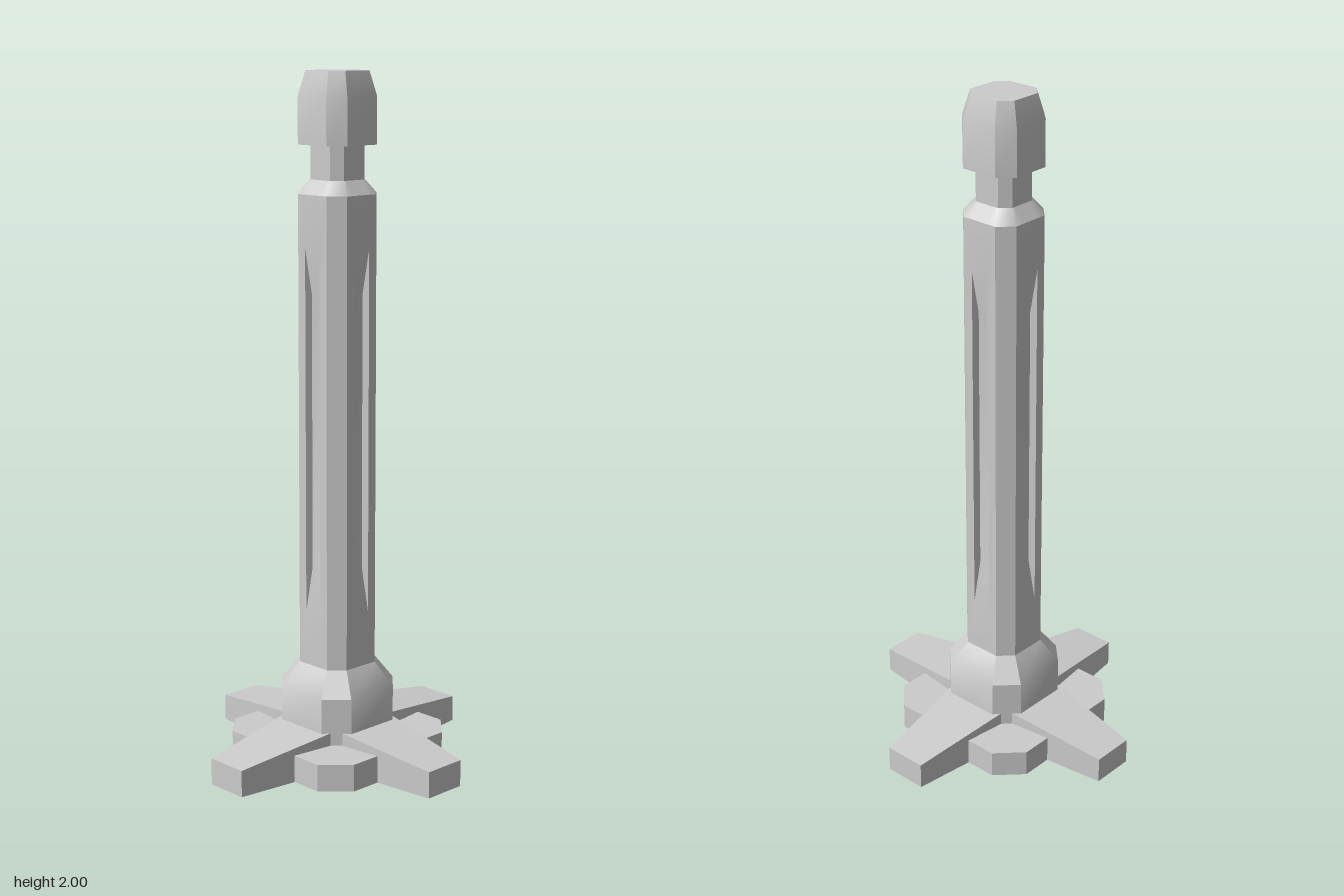
import * as THREE from 'three';
import { toCreasedNormals } from 'three/addons/utils/BufferGeometryUtils.js';

const material = new THREE.MeshStandardMaterial({ color: 0xcccccc });
const CORNER = 0.585; // where a flat side ends, as a share of the half width

// Skin a stack of closed rings (listed from +x towards +z, bottom to top) and cap both ends
function loft(name, rings) {
  const pos = [];
  const tri = (...pts) => pts.forEach((p) => pos.push(p.x, p.y, p.z));
  const centre = (ring) =>
    ring.reduce((sum, p) => sum.add(p), new THREE.Vector3()).divideScalar(ring.length);
  const n = rings[0].length;
  const bottom = rings[0], top = rings[rings.length - 1];
  const cb = centre(bottom), ct = centre(top);
  for (let i = 0; i < n; i++) {
    const j = (i + 1) % n;
    for (let k = 0; k < rings.length - 1; k++) {
      const lo = rings[k], hi = rings[k + 1];
      tri(lo[i], hi[i], lo[j]);
      tri(lo[j], hi[i], hi[j]);
    }
    tri(cb, bottom[i], bottom[j]);
    tri(ct, top[j], top[i]);
  }
  const geo = new THREE.BufferGeometry();
  geo.setAttribute('position', new THREE.Float32BufferAttribute(pos, 3));
  const mesh = new THREE.Mesh(toCreasedNormals(geo, 0.62), material);
  mesh.name = name;
  return mesh;
}

// Repeat one side, given as [across, outward] points, around the four sides
function fourSided(y, side) {
  const ring = [];
  for (let q = 0; q < 4; q++) {
    const c = Math.round(Math.cos(q * Math.PI / 2)), s = Math.round(Math.sin(q * Math.PI / 2));
    for (const [t, r] of side) ring.push(new THREE.Vector3(r * c - t * s, y, r * s + t * c));
  }
  return ring;
}

// Square ring with cut corners
const octagon = (y, half, corner = half * CORNER) =>
  fourSided(y, [[-corner, half], [corner, half]]);

// Shaft ring with a flute of the given depth in each side
function fluted(y, half, depth) {
  const edge = 0.029, floor = depth > 0 ? 0.023 : edge, c = half * CORNER;
  return fourSided(y, [
    [-c, half], [-edge, half], [-floor, half - depth],
    [floor, half - depth], [edge, half], [c, half],
  ]);
}

export function createModel() {
  const model = new THREE.Group();
  model.name = 'pillar';

  // Base plate
  model.add(loft('basePlate', [octagon(0, 0.255, 0.182), octagon(0.08, 0.255, 0.182)]));

  // Four tapering feet whose tops slope down outwards
  const footRing = (yRoot, yTip) => [
    new THREE.Vector3(0.106, yRoot, 0.11), new THREE.Vector3(0.065, yTip, 0.436),
    new THREE.Vector3(-0.065, yTip, 0.436), new THREE.Vector3(-0.106, yRoot, 0.11),
  ];
  for (let i = 0; i < 4; i++) {
    const foot = loft('foot', [footRing(0, 0), footRing(0.12, 0.078)]);
    foot.rotation.y = i * Math.PI / 2;
    model.add(foot);
  }

  // Collar at the foot of the shaft
  model.add(loft('collar', [octagon(0.08, 0.146), octagon(0.22, 0.146), octagon(0.29, 0.098)]));

  // Shaft with a shallow flute in each side and a sloped shoulder
  model.add(loft('shaft', [
    fluted(0.29, 0.098, 0), fluted(0.45, 0.098, 0), fluted(0.58, 0.098, 0.02),
    fluted(1.38, 0.098, 0.02), fluted(1.51, 0.098, 0), fluted(1.66, 0.098, 0),
    fluted(1.7, 0.067, 0),
  ]));

  // Neck and head
  model.add(loft('neck', [octagon(1.7, 0.067), octagon(1.8, 0.067)]));
  model.add(loft('head', [octagon(1.797, 0.098), octagon(1.93, 0.098), octagon(2, 0.079)]));

  return model;
}
